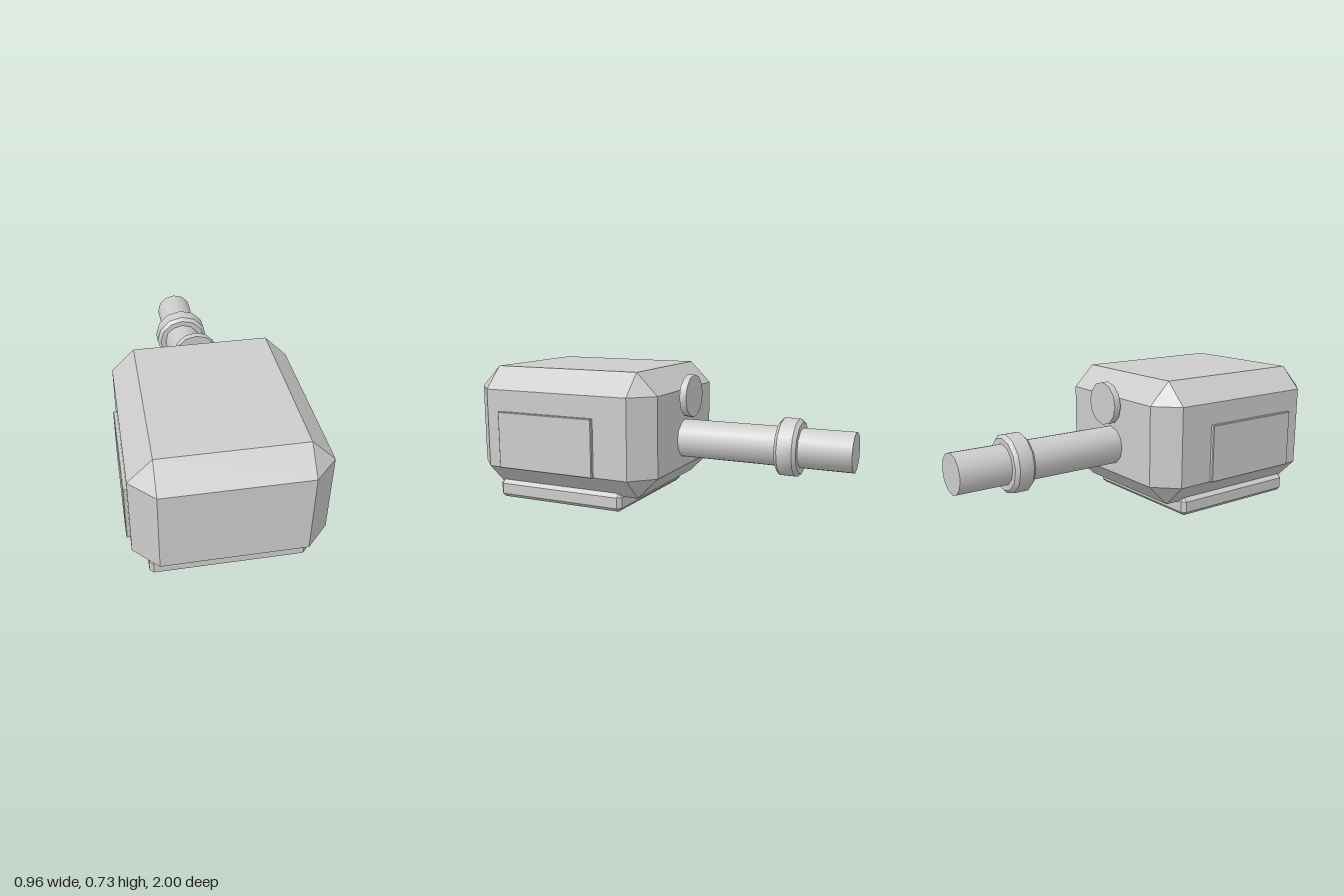
import * as THREE from 'three';
import { toCreasedNormals } from 'three/addons/utils/BufferGeometryUtils.js';
import { ConvexGeometry } from 'three/addons/geometries/ConvexGeometry.js';

const grey = new THREE.MeshStandardMaterial({ color: 0xcccccc });
grey.name = 'grey';

// Box with flat chamfers on every edge and triangular corners
function chamferBox(w, h, d, b) {
  const half = [w / 2, h / 2, d / 2];
  const points = [];
  for (const sx of [-1, 1]) for (const sy of [-1, 1]) for (const sz of [-1, 1]) {
    for (let axis = 0; axis < 3; axis++) {
      const p = half.map((v, i) => (i === axis ? v : v - b));
      points.push(new THREE.Vector3(p[0] * sx, p[1] * sy, p[2] * sz));
    }
  }
  return new ConvexGeometry(points);
}

// Closed round part along z, from zFront back to zBack, with chamfered rims
function roundPart(radius, zFront, zBack, b) {
  const a = -zFront, c = -zBack;
  const profile = b > 0
    ? [[0, a], [radius - b, a], [radius, a + b], [radius, c - b], [radius - b, c], [0, c]]
    : [[0, a], [radius, a], [radius, c], [0, c]];
  const lathe = new THREE.LatheGeometry(profile.map(([x, y]) => new THREE.Vector2(x, y)), 12);
  lathe.rotateX(-Math.PI / 2);
  return toCreasedNormals(lathe, 0.6);
}

export function createModel() {
  const group = new THREE.Group();
  const add = (name, geometry, x, y, z) => {
    const mesh = new THREE.Mesh(geometry, grey);
    mesh.name = name;
    mesh.position.set(x, y, z);
    group.add(mesh);
  };

  // Main housing and foot plate
  add('body', chamferBox(0.922, 0.654, 1.08, 0.116), 0, 0.405, 0.46);
  add('base', chamferBox(0.77, 0.098, 0.766, 0.02), 0, 0.049, 0.502);

  // Raised panels on both sides
  for (const s of [-1, 1]) {
    add(s > 0 ? 'leftPanel' : 'rightPanel', chamferBox(0.04, 0.307, 0.576, 0.004), s * 0.459, 0.347, 0.518);
  }

  // Rear pipe with its collar, and the round cap above it
  add('pipe', roundPart(0.105, -0.06, -1, 0), 0, 0.347, 0);
  add('collar', roundPart(0.152, -0.617, -0.73, 0.018), 0, 0.347, 0);
  add('rearCap', roundPart(0.115, -0.095, -0.132, 0), 0, 0.58, 0);

  return group;
}
